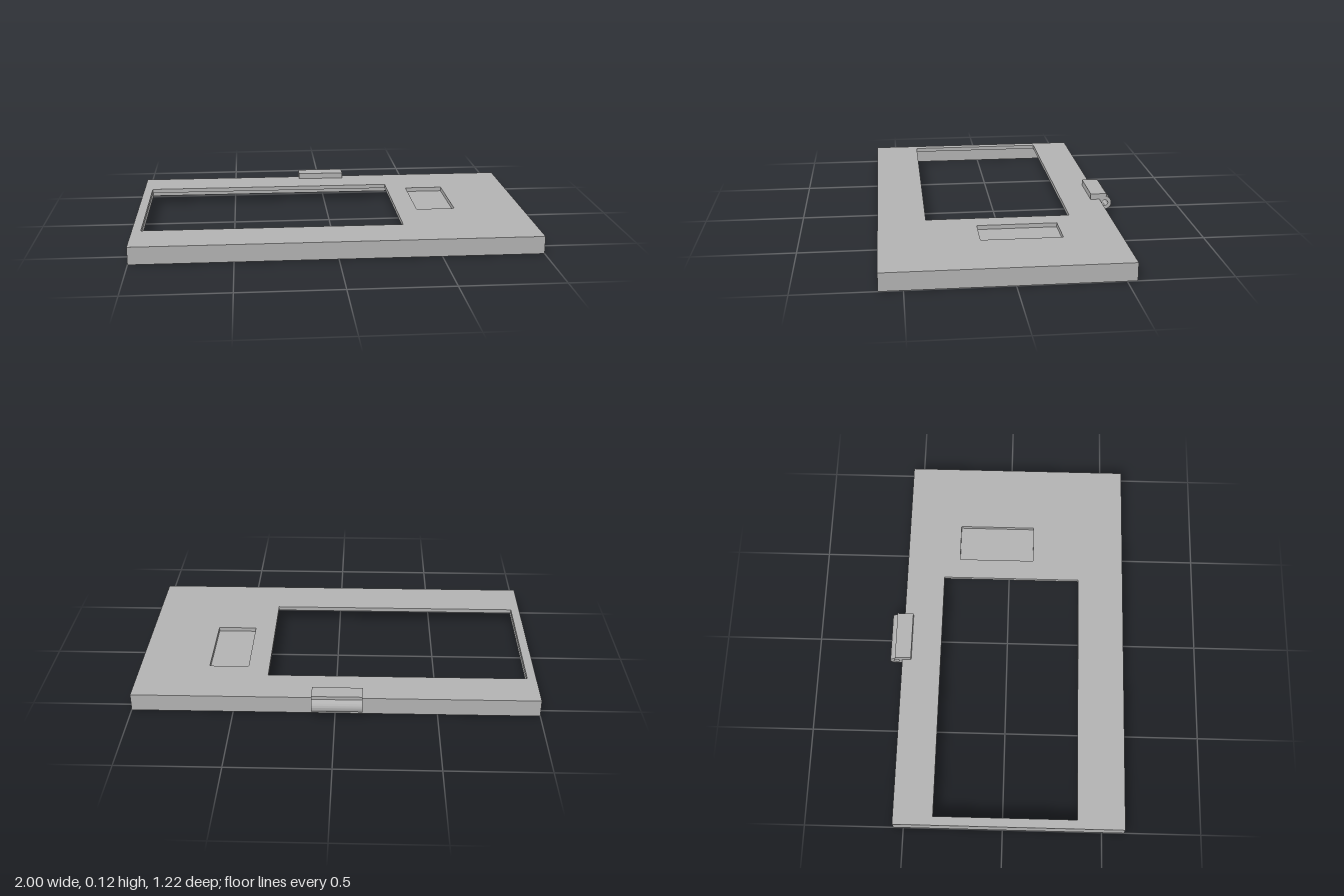
import * as THREE from 'three';
import { toCreasedNormals } from 'three/addons/utils/BufferGeometryUtils.js';

// Rectangular outline in plan: x across, z along
function rect(x0, x1, z0, z1, Type = THREE.Shape) {
  return new Type([[x0, z0], [x1, z0], [x1, z1], [x0, z1]].map(p => new THREE.Vector2(...p)));
}

// Horizontal slab from a plan outline with rectangular holes
function slab(bounds, holes, bottom, top) {
  const shape = rect(...bounds);
  holes.forEach(h => shape.holes.push(rect(...h, THREE.Path)));
  const geo = new THREE.ExtrudeGeometry(shape, { depth: top - bottom, bevelEnabled: false });
  geo.rotateX(Math.PI / 2);
  geo.translate(0, top, 0);
  return geo;
}

export function createModel() {
  const group = new THREE.Group();
  const grey = new THREE.MeshStandardMaterial({ color: 0xb2b2b2 });
  grey.name = 'grey';
  const add = (name, geo) => {
    const mesh = new THREE.Mesh(geo, grey);
    mesh.name = name;
    group.add(mesh);
  };

  const outer = [-1, 1, -0.549, 0.612];
  const inner = [-0.968, 0.968, -0.517, 0.58];
  const display = [-0.955, 0.342, -0.348, 0.373];
  const pocket = [0.449, 0.647, -0.268, 0.128];
  const top = 0.088, under = 0.067;

  // Thin face plate with its openings, a hanging rim and the pocket floor
  add('facePlate', slab(outer, [display, pocket], under, top));
  add('rim', slab(outer, [inner], 0, under));
  add('pocketFloor', slab(pocket, [], 0.048, under));

  // Hinge: mounting tab running into a hollow barrel behind the back edge
  const cx = 0.579, cy = 0.068, r = 0.034, tabEnd = 0.585;
  const profile = new THREE.Shape();
  profile.moveTo(0.502, top);
  profile.lineTo(cx - r, top);
  profile.lineTo(cx - r, cy);
  profile.absarc(cx, cy, r, Math.PI, 2 * Math.PI + Math.acos((tabEnd - cx) / r), false);
  profile.lineTo(tabEnd, 0.118);
  profile.lineTo(0.502, 0.118);
  profile.closePath();
  const bore = new THREE.Path();
  bore.absarc(cx, cy, 0.0155, 0, Math.PI * 2, true);
  profile.holes.push(bore);
  const hinge = new THREE.ExtrudeGeometry(profile, { depth: 0.248, bevelEnabled: false, curveSegments: 32 });
  hinge.rotateY(Math.PI / 2);
  hinge.translate(-0.134, 0, 0);
  add('hinge', toCreasedNormals(hinge, 0.6));

  return group;
}
